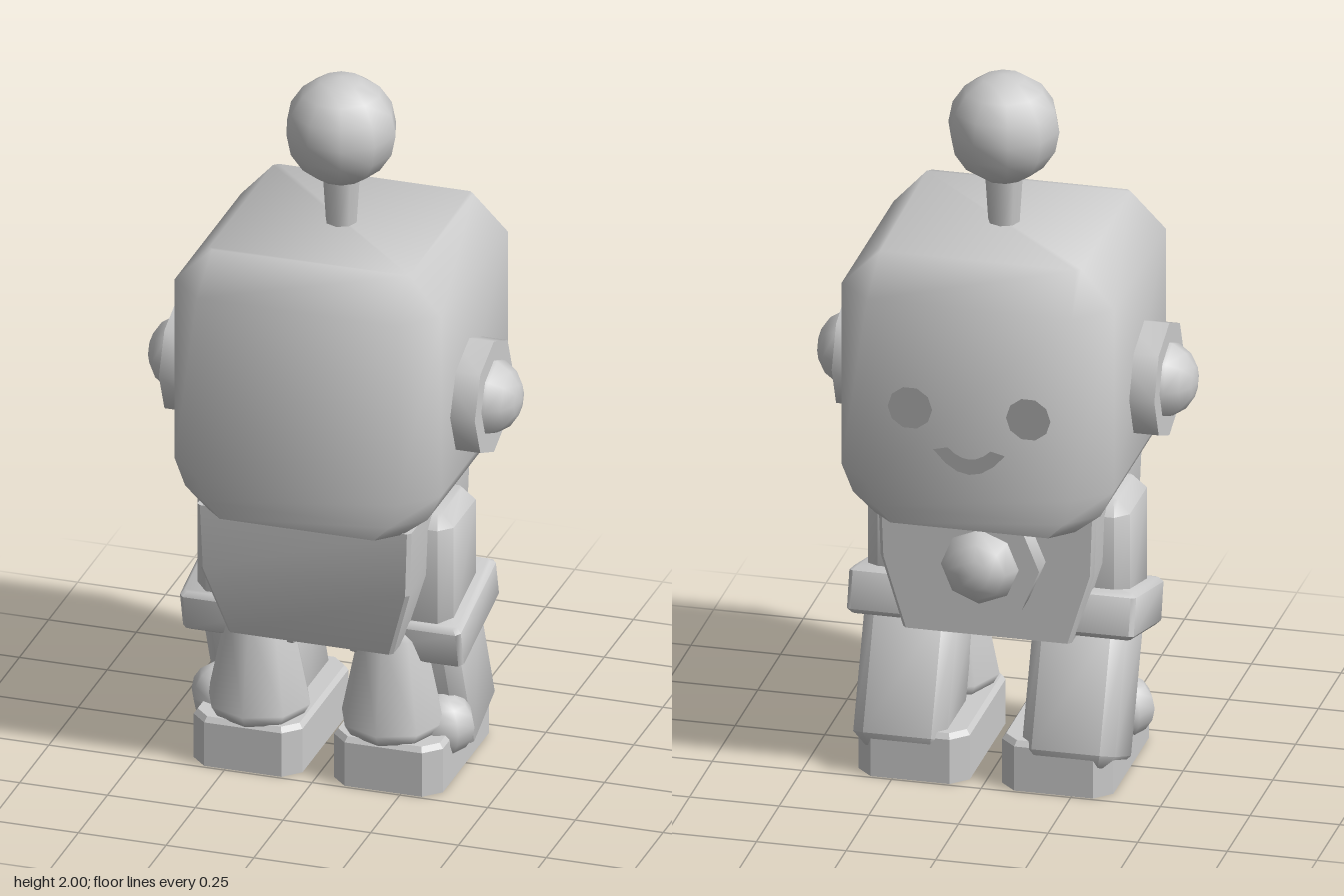
import * as THREE from 'three';
import { toCreasedNormals } from 'three/addons/utils/BufferGeometryUtils.js';

const shell = new THREE.MeshStandardMaterial({ color: 0xcccccc });
shell.name = 'shell grey';
const faceInk = new THREE.MeshStandardMaterial({ color: 0xababab });
faceInk.name = 'face grey';

// Stacks chamfered rectangles, bottom to top: [y, halfX, halfZ, chamfer, zOffset]
function loft(rings, crease = 0.3) {
  const pos = [], idx = [], n = 8;
  for (const [y, hx, hz, c, oz = 0] of rings) {
    const corners = [
      [hx, hz - c], [hx - c, hz], [c - hx, hz], [-hx, hz - c],
      [-hx, c - hz], [c - hx, -hz], [hx - c, -hz], [hx, c - hz],
    ];
    for (const [x, z] of corners) pos.push(x, y, z + oz);
  }
  for (let r = 0; r < rings.length - 1; r++) {
    for (let i = 0; i < n; i++) {
      const a = r * n + i, b = r * n + (i + 1) % n;
      idx.push(a, a + n, b, b, a + n, b + n);
    }
  }
  const top = (rings.length - 1) * n;
  for (let i = 1; i < n - 1; i++) {
    idx.push(0, i, i + 1, top, top + i + 1, top + i);
  }
  const geo = new THREE.BufferGeometry();
  geo.setAttribute('position', new THREE.Float32BufferAttribute(pos, 3));
  geo.setIndex(idx);
  return toCreasedNormals(geo, crease);
}

// Box with all edges chamfered, centred on its origin
function chamferBox(w, h, d, c) {
  const x = w / 2, y = h / 2, z = d / 2;
  return loft([
    [-y, x - c, z - c, 0.01], [-y + c, x, z, c],
    [y - c, x, z, c], [y, x - c, z - c, 0.01],
  ], 0.9);
}

function add(parent, name, geometry, x = 0, y = 0, z = 0, material = shell) {
  const mesh = new THREE.Mesh(geometry, material);
  mesh.name = name;
  mesh.position.set(x, y, z);
  parent.add(mesh);
  return mesh;
}

// Octagonal disc with a round knob, pointing along +y
function makeKnob(name) {
  const knob = new THREE.Group();
  knob.name = name;
  const disc = toCreasedNormals(new THREE.CylinderGeometry(0.165, 0.165, 0.12, 8), 0.9);
  add(knob, 'knobDisc', disc, 0, 0.01, 0);
  add(knob, 'knobBall', new THREE.SphereGeometry(0.115, 8, 8), 0, 0.035, 0);
  return knob;
}

function makeHead() {
  const head = new THREE.Group();
  head.name = 'head';
  add(head, 'skull', loft([
    [0.815, 0.28, 0.38, 0.06], [0.86, 0.345, 0.38, 0.08], [0.93, 0.38, 0.38, 0.095],
    [1.465, 0.38, 0.38, 0.095], [1.57, 0.285, 0.285, 0.012],
  ], 1.1));

  // Antenna
  add(head, 'antennaStem', new THREE.CylinderGeometry(0.055, 0.042, 0.2, 8), 0, 1.64, 0);
  add(head, 'antennaBall', new THREE.SphereGeometry(0.155, 10, 8), 0, 1.845, 0);

  // Ears
  for (const side of [1, -1]) {
    const ear = makeKnob('ear');
    ear.position.set(side * 0.38, 1.13, 0.045);
    ear.rotation.z = -side * Math.PI / 2;
    head.add(ear);
  }

  // Eyes
  for (const side of [1, -1]) {
    const eye = add(head, 'eye', new THREE.CircleGeometry(0.062, 10), side * 0.165, 1.16, -0.383, faceInk);
    eye.rotation.y = Math.PI;
  }

  // Smile
  const smile = new THREE.Shape();
  smile.moveTo(-0.1, 0.035);
  smile.quadraticCurveTo(0, -0.095, 0.1, 0.035);
  smile.lineTo(0.06, 0.045);
  smile.quadraticCurveTo(0, -0.015, -0.06, 0.045);
  smile.closePath();
  add(head, 'mouth', new THREE.ShapeGeometry(smile, 6), 0, 1.01, -0.383, faceInk).rotation.y = Math.PI;
  return head;
}

function makeArm(side) {
  const arm = new THREE.Group();
  arm.name = 'arm';
  add(arm, 'upperArm', chamferBox(0.26, 0.38, 0.26, 0.035), side * 0.235, 0.61, 0.04);
  const cuff = add(arm, 'cuff', chamferBox(0.33, 0.13, 0.335, 0.012), side * 0.235, 0.46, 0.015);
  cuff.rotation.x = 0.25;
  const forearm = add(arm, 'forearm', chamferBox(0.26, 0.42, 0.26, 0.035), side * 0.235, 0.245, -0.065);
  forearm.rotation.x = 0.38;
  add(arm, 'thumb', new THREE.SphereGeometry(0.088, 8, 8), side * 0.315, 0.143, 0.07);
  return arm;
}

function makeLeg(side) {
  const leg = new THREE.Group();
  leg.name = 'leg';
  const profile = [[0, 0.13], [0.125, 0.14], [0.145, 0.175], [0.092, 0.43], [0.06, 0.47], [0, 0.475]]
    .map(([r, y]) => new THREE.Vector2(r, y));
  add(leg, 'shin', new THREE.LatheGeometry(profile, 8), side * 0.19, 0, 0.13);
  add(leg, 'foot', loft([
    [0, 0.155, 0.242, 0.045], [0.13, 0.155, 0.242, 0.045], [0.145, 0.145, 0.232, 0.04],
  ]), side * 0.2, 0, 0);
  return leg;
}

export function createModel() {
  const model = new THREE.Group();
  model.name = 'robot';
  model.add(makeHead());

  // Tapered torso with a flat chest
  add(model, 'torso', loft([
    [0.425, 0.235, 0.23, 0.01, 0.04], [0.63, 0.298, 0.255, 0.01, 0.065],
    [0.82, 0.305, 0.258, 0.01, 0.067],
  ]));
  const button = makeKnob('chestButton');
  button.position.set(0, 0.66, -0.193);
  button.rotation.x = -Math.PI / 2;
  model.add(button);

  for (const side of [1, -1]) model.add(makeArm(side), makeLeg(side));
  return model;
}
